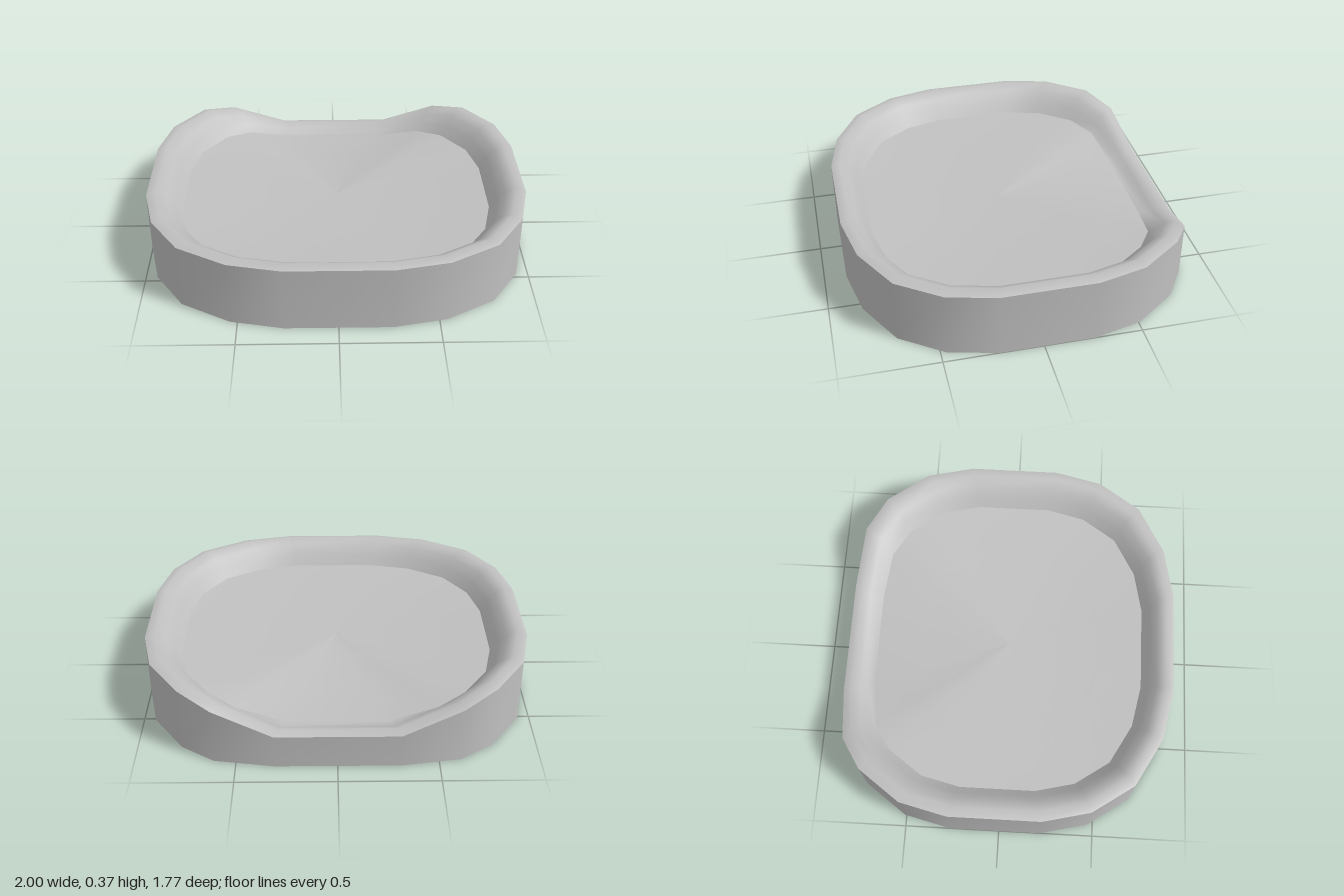
import * as THREE from 'three';

// Right half of the outline, back to front: [x, z, how far the rim dips here]
const half = [
  [0.31, -0.885, 0.17], [0.61, -0.84, 0.05], [0.78, -0.73, 0.005], [0.94, -0.51, 0],
  [1, -0.26, 0], [1, 0.22, 0], [0.94, 0.47, 0], [0.79, 0.69, 0], [0.54, 0.83, 0], [0.27, 0.885, 0],
];
const outline = [...half, ...half.slice().reverse().map(([x, z, dip]) => [-x, z, dip])];

// Skin the outline through rows of [scale, height, share of the dip]
function loft(name, rows, material) {
  const positions = [], index = [], n = outline.length;
  for (const [scale, y, share] of rows)
    for (const [x, z, dip] of outline) positions.push(x * scale, y - dip * share, z * scale);
  for (let r = 0; r < rows.length - 1; r++) {
    for (let i = 0; i < n; i++) {
      const j = (i + 1) % n;
      const a = r * n + i, b = r * n + j, c = a + n, d = b + n;
      if (rows[r][0] > 0) index.push(a, c, b);
      if (rows[r + 1][0] > 0) index.push(b, c, d);
    }
  }
  const geometry = new THREE.BufferGeometry();
  geometry.setAttribute('position', new THREE.Float32BufferAttribute(positions, 3));
  geometry.setIndex(index);
  geometry.computeVertexNormals();
  const mesh = new THREE.Mesh(geometry, material);
  mesh.name = name;
  return mesh;
}

export function createModel() {
  const group = new THREE.Group();
  group.name = 'roundedTrayBed';
  const grey = new THREE.MeshStandardMaterial({ color: 0xc0c0c0 });
  grey.name = 'light grey';

  group.add(
    // Flat underside
    loft('base', [[0, 0, 0], [1, 0, 0]], grey),
    // Upright outside wall with the low entrance at the back
    loft('outerWall', [[1, 0, 0], [1, 0.35, 1]], grey),
    // Padded rim rolling over and down to the cushion
    loft('rim', [[1, 0.35, 1], [0.95, 0.365, 1], [0.9, 0.335, 0.95], [0.86, 0.285, 0.78], [0.82, 0.23, 0.45]], grey),
    // Gently dished cushion
    loft('cushion', [[0.82, 0.23, 0.45], [0.55, 0.21, 0.25], [0.25, 0.2, 0.08], [0, 0.198, 0]], grey),
  );
  return group;
}
